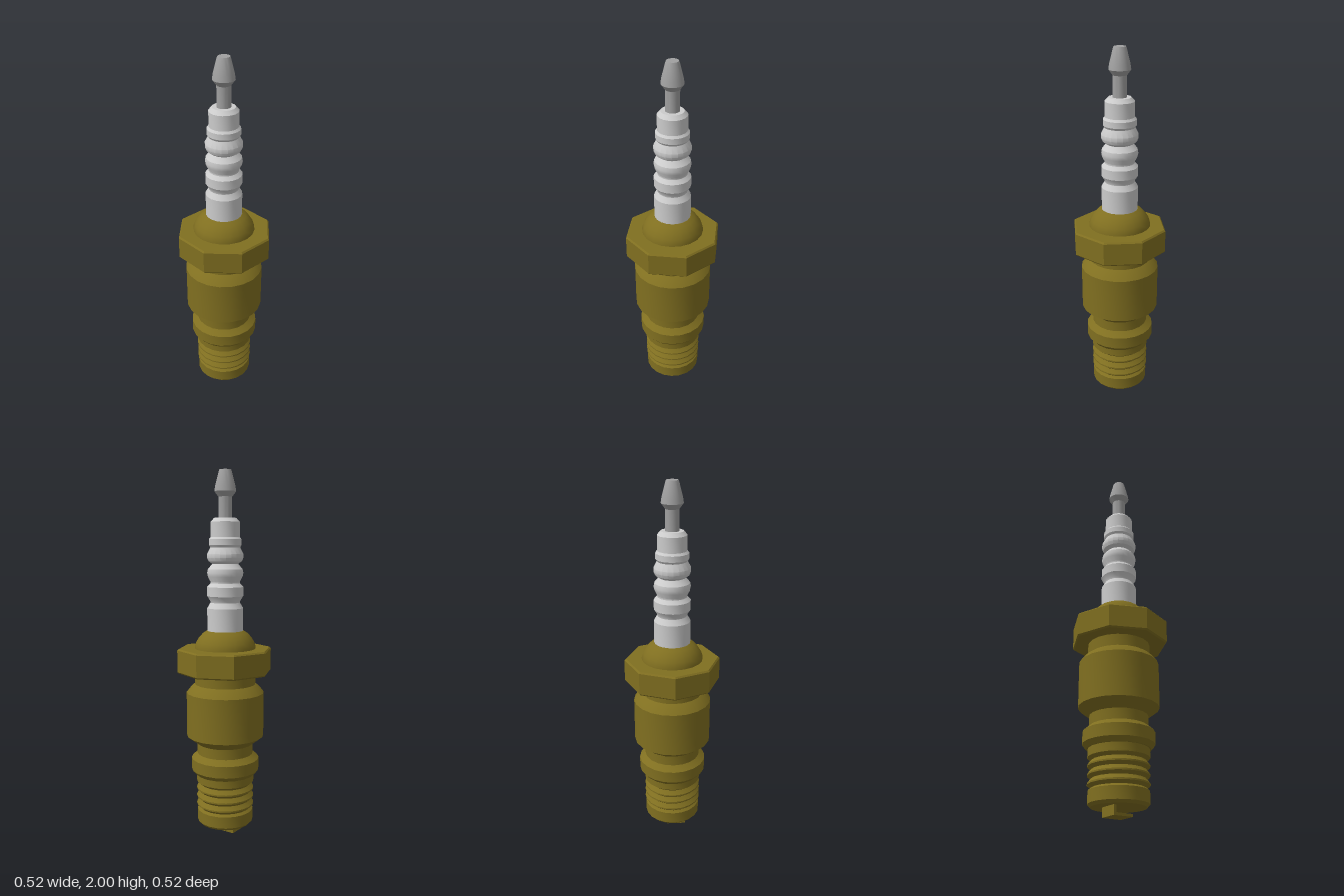
import * as THREE from 'three';
import { toCreasedNormals } from 'three/addons/utils/BufferGeometryUtils.js';

const brass = new THREE.MeshStandardMaterial({ color: 0x806f20 });
const ceramic = new THREE.MeshStandardMaterial({ color: 0xcccccc });
const steel = new THREE.MeshStandardMaterial({ color: 0xa0a0a0 });

export function createModel() {
  const model = new THREE.Group();

  const add = (name, geometry, material) => {
    const mesh = new THREE.Mesh(geometry, material);
    mesh.name = name;
    model.add(mesh);
    return mesh;
  };

  // Revolve [radius, height] pairs, listed from bottom to top
  const turn = (name, profile, material, sides = 20, crease = 0.5) => {
    const points = profile.map(([r, y]) => new THREE.Vector2(r, y));
    const geometry = toCreasedNormals(new THREE.LatheGeometry(points, sides), crease);
    const mesh = add(name, geometry, material);
    mesh.position.x = -0.004;
    return mesh;
  };

  // Threaded end: plain tip, then ridges
  const thread = [[0, 0.05], [0.142, 0.05], [0.156, 0.065], [0.156, 0.13], [0.142, 0.142]];
  const pitch = 0.046;
  for (let i = 0; i < 4; i++) {
    const y = 0.142 + i * pitch;
    thread.push([0.16, y + 0.016], [0.16, y + 0.024], [0.142, y + pitch]);
  }
  thread.push([0.142, 0.34]);
  turn('threadedEnd', thread, brass);

  // Sealing collar
  turn('collar', [[0, 0.3], [0.16, 0.3], [0.16, 0.34], [0.167, 0.34], [0.188, 0.365],
    [0.188, 0.43], [0.155, 0.458], [0.155, 0.52]], brass);

  // Main shell and its neck
  turn('shell', [[0, 0.515], [0.155, 0.515], [0.214, 0.56], [0.214, 0.805],
    [0.19, 0.835], [0.167, 0.852], [0.167, 0.93]], brass);

  // Eight-sided nut with small chamfers, corners on the x and z axes
  const nut = turn('nut', [[0, 0.915], [0.254, 0.915], [0.262, 0.923],
    [0.262, 1.042], [0.254, 1.05], [0, 1.05]], brass, 8, 0.3);
  nut.position.x = 0;

  // Rounded shoulder above the nut
  turn('shoulder', [[0.167, 1.04], [0.167, 1.06], [0.158, 1.086], [0.142, 1.112],
    [0.12, 1.135], [0.1, 1.147], [0, 1.147]], brass);

  // Ribbed insulator
  turn('insulator', [[0.098, 1.13], [0.098, 1.27], [0.08, 1.3], [0.082, 1.31],
    [0.098, 1.335], [0.098, 1.385], [0.08, 1.405], [0.08, 1.413],
    [0.094, 1.44], [0.098, 1.46], [0.094, 1.48], [0.07, 1.508],
    [0.09, 1.522], [0.098, 1.54], [0.098, 1.56], [0.08, 1.595],
    [0.088, 1.607], [0.088, 1.638], [0.078, 1.65], [0.078, 1.73],
    [0.06, 1.75], [0, 1.75]], ceramic);

  // Terminal pin with tapered cap
  turn('terminal', [[0.037, 1.74], [0.037, 1.86], [0.058, 1.888],
    [0.054, 1.915], [0.035, 1.99], [0.031, 2], [0, 2]], steel);

  // Bent ground electrode: upright strip and foot
  const upright = add('electrodeUpright', new THREE.BoxGeometry(0.016, 0.058, 0.107), brass);
  upright.position.set(-0.072, 0.031, 0.02);
  const foot = add('electrodeFoot', new THREE.BoxGeometry(0.11, 0.014, 0.107), brass);
  foot.position.set(-0.025, 0.007, 0.02);

  return model;
}
